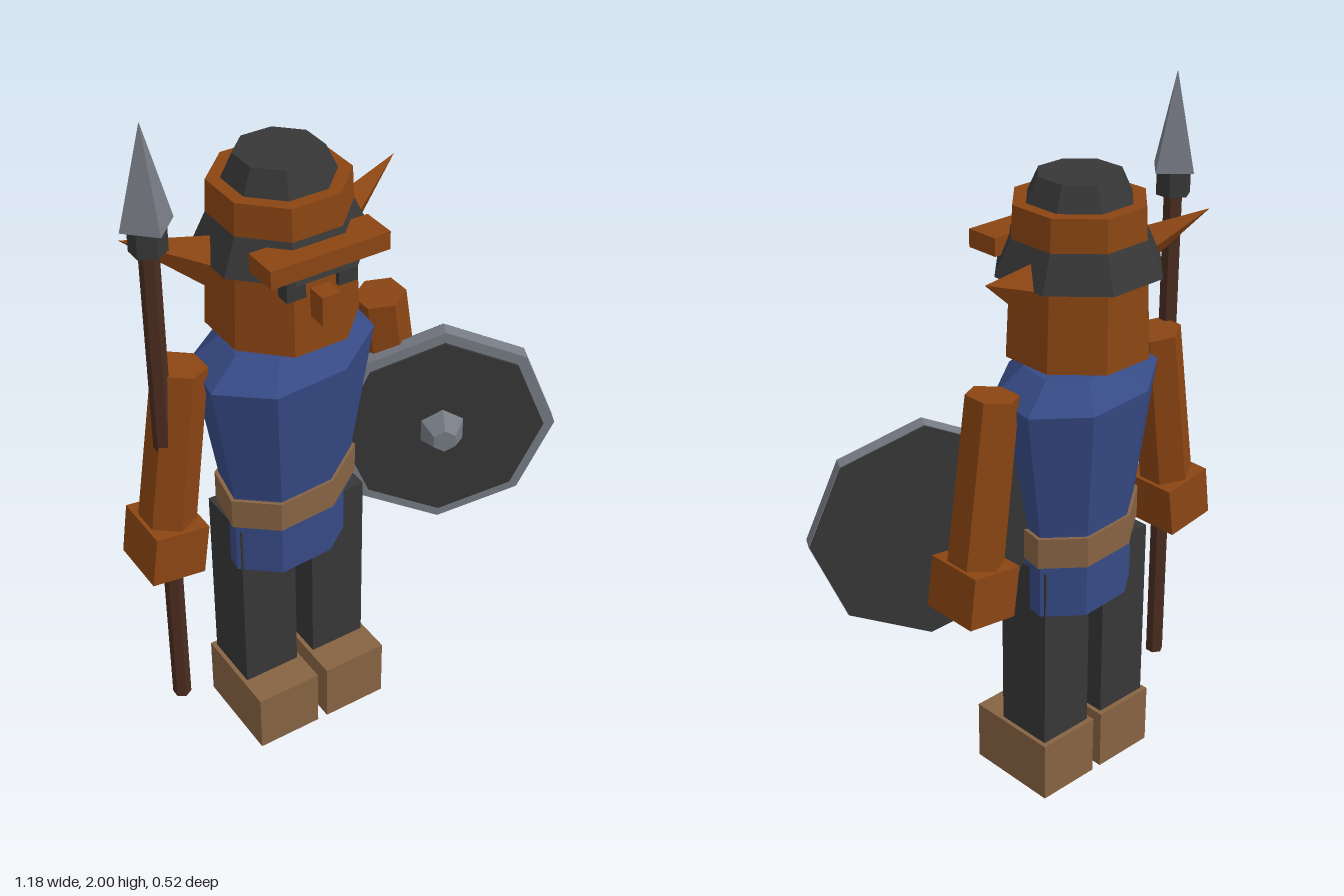
import * as THREE from 'three';

const mat = (name, color) => Object.assign(new THREE.MeshStandardMaterial({ color }), { name });

export function createModel() {
  const skin = mat('skin', 0x8b4513);
  const cloth = mat('blueCloth', 0x364a85);
  const dark = mat('darkGrey', 0x373737);
  const leather = mat('leather', 0x876343);
  const steel = mat('steel', 0x777b84);
  const wood = mat('wood', 0x4a2c20);

  const model = new THREE.Group();
  // The figure stands off-centre to leave room for the shield
  const body = new THREE.Group();
  body.name = 'body';
  body.position.set(-0.128, 0, -0.045);
  model.add(body);

  // Adds a faceted mesh
  function add(parent, name, geometry, material, x = 0, y = 0, z = 0) {
    const geo = geometry.index ? geometry.toNonIndexed() : geometry;
    geo.computeVertexNormals();
    const mesh = new THREE.Mesh(geo, material);
    mesh.name = name;
    mesh.position.set(x, y, z);
    parent.add(mesh);
    return mesh;
  }
  const box = (w, h, d) => new THREE.BoxGeometry(w, h, d);
  const prism = (top, bottom, h, sides) => new THREE.CylinderGeometry(top, bottom, h, sides);
  // Octagon with flat sides facing the axes
  const octagon = (top, bottom, h) => prism(top, bottom, h, 8).rotateY(Math.PI / 8);

  // Torso and belt: oval octagons, turned a little
  const trunk = new THREE.Group();
  trunk.name = 'trunk';
  trunk.scale.set(0.29, 1, 0.205);
  trunk.rotation.y = THREE.MathUtils.degToRad(20);
  body.add(trunk);
  const profile = [[0, 0.615], [0.76, 0.615], [0.76, 0.87], [1, 1.25], [0.65, 1.315], [0, 1.315]]
    .map(([r, y]) => new THREE.Vector2(r, y));
  add(trunk, 'tunic', new THREE.LatheGeometry(profile, 8), cloth);
  add(trunk, 'belt', prism(0.8, 0.8, 0.09, 8), leather, 0, 0.82);

  // Neck, head and helmet
  add(body, 'neck', octagon(0.088, 0.088, 0.1), skin, 0, 1.33);
  add(body, 'head', octagon(0.182, 0.202, 0.41), skin, 0, 1.545);
  add(body, 'helmet', octagon(0.115, 0.231, 0.25), dark, 0, 1.69);

  // Face
  add(body, 'brow', box(0.34, 0.05, 0.1), skin, 0, 1.62, 0.183);
  add(body, 'nose', box(0.055, 0.08, 0.08), skin, 0, 1.483, 0.195);

  for (const side of [1, -1]) {
    add(body, 'eye', box(0.055, 0.055, 0.04), dark, side * 0.075, 1.538, 0.173);

    // Pointed ear, swept up and back
    const base = new THREE.Vector3(side * 0.17, 1.55, -0.005);
    const tip = new THREE.Vector3(side * 0.402, 1.645, -0.088);
    const axis = tip.clone().sub(base);
    const length = axis.length();
    const ear = add(body, 'ear', new THREE.ConeGeometry(0.075, length, 4), skin);
    const up = axis.normalize();
    const across = new THREE.Vector3(0, 0, 1).addScaledVector(up, -up.z).normalize();
    const basis = new THREE.Matrix4().makeBasis(new THREE.Vector3().crossVectors(up, across), up, across);
    ear.quaternion.setFromRotationMatrix(basis);
    ear.position.copy(base).lerp(tip, 0.5);
    ear.scale.z = 0.6;

    // Arm and hand, hanging slightly outward
    const arm = new THREE.Group();
    arm.name = 'arm';
    arm.position.set(side * 0.38, 0.755, 0);
    arm.rotation.z = side * 0.14;
    body.add(arm);
    add(arm, 'sleeve', prism(0.072, 0.078, 0.49, 6), skin, 0, 0.3);
    add(arm, 'hand', box(0.157, 0.15, 0.174), skin);

    // Leg and boot
    add(body, 'leg', box(0.17, 0.59, 0.175), dark, side * 0.113, 0.455);
    add(body, 'boot', box(0.195, 0.185, 0.285), leather, side * 0.113, 0.0925, 0.04);
  }

  // Spear
  const spear = new THREE.Group();
  spear.name = 'spear';
  spear.position.set(-0.505, 0, -0.022);
  model.add(spear);
  add(spear, 'shaft', prism(0.026, 0.026, 1.5, 6), wood, 0, 0.94);
  add(spear, 'collar', prism(0.048, 0.048, 0.07, 6), dark, 0, 1.7);
  add(spear, 'spearhead', new THREE.ConeGeometry(0.072, 0.265, 4), steel, 0, 1.8675);

  // Shield, its local y axis pointing out of the face
  const shield = new THREE.Group();
  shield.name = 'shield';
  shield.position.set(0.297, 0.895, 0.09);
  shield.rotation.set(Math.PI / 2, 0, THREE.MathUtils.degToRad(28));
  model.add(shield);
  add(shield, 'shieldRim', prism(0.318, 0.318, 0.044, 8), steel);
  add(shield, 'shieldFace', prism(0.286, 0.286, 0.008, 8), dark, 0, 0.025);
  add(shield, 'shieldBack', prism(0.316, 0.316, 0.006, 8), dark, 0, -0.023);
  add(shield, 'shieldBoss', prism(0.035, 0.07, 0.06, 6), steel, 0, 0.055);

  return model;
}
